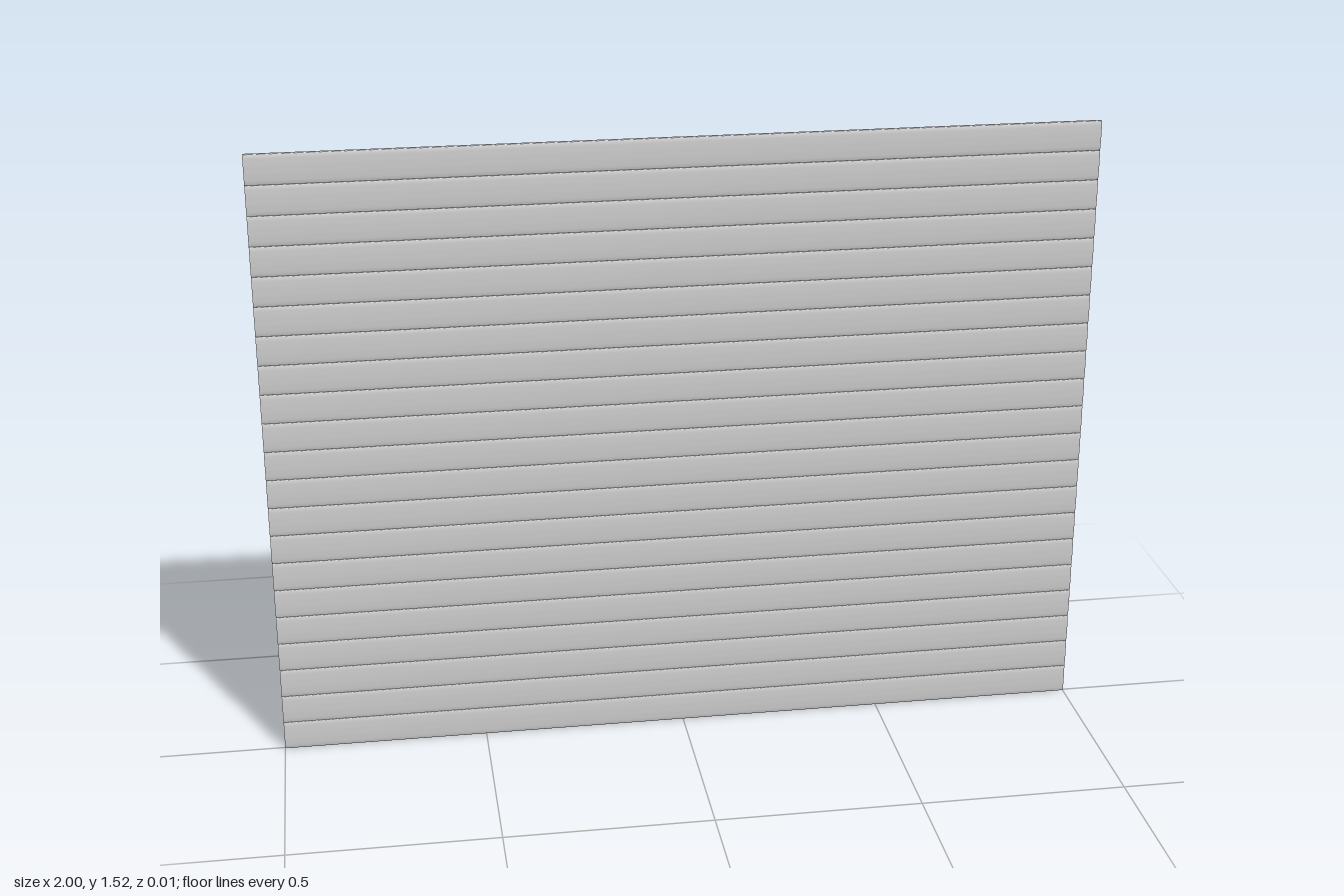
import * as THREE from 'three';
import { toCreasedNormals } from 'three/addons/utils/BufferGeometryUtils.js';

const COUNT = 21, HEIGHT = 1.518, WIDTH = 2;
const PITCH = HEIGHT / COUNT;

// Slat cross-section: gently bulged faces, rounded shoulders, narrow joint edges
function slatProfile() {
  const h = PITCH / 2, joint = 0.003, shoulder = 0.006, bulge = 0.009, r = 0.004;
  const s = new THREE.Shape();
  s.moveTo(joint, -h);
  s.quadraticCurveTo(shoulder, -h, shoulder, -h + r);
  s.quadraticCurveTo(bulge, 0, shoulder, h - r);
  s.quadraticCurveTo(shoulder, h, joint, h);
  s.lineTo(-joint, h);
  s.quadraticCurveTo(-shoulder, h, -shoulder, h - r);
  s.quadraticCurveTo(-bulge, 0, -shoulder, -h + r);
  s.quadraticCurveTo(-shoulder, -h, -joint, -h);
  s.closePath();
  return s;
}

export function createModel() {
  const group = new THREE.Group();
  group.name = 'slattedPanel';
  const material = new THREE.MeshStandardMaterial({ color: 0xcccccc });

  // One slat running along x, centred on its own middle
  let slat = new THREE.ExtrudeGeometry(slatProfile(), {
    depth: WIDTH, bevelEnabled: false, curveSegments: 10,
  });
  slat.translate(0, 0, -WIDTH / 2);
  slat.rotateY(Math.PI / 2);
  slat = toCreasedNormals(slat, 0.6);

  // Stack of identical slats
  for (let i = 0; i < COUNT; i++) {
    const mesh = new THREE.Mesh(slat, material);
    mesh.name = `slat${i + 1}`;
    mesh.position.y = (i + 0.5) * PITCH;
    group.add(mesh);
  }
  return group;
}
